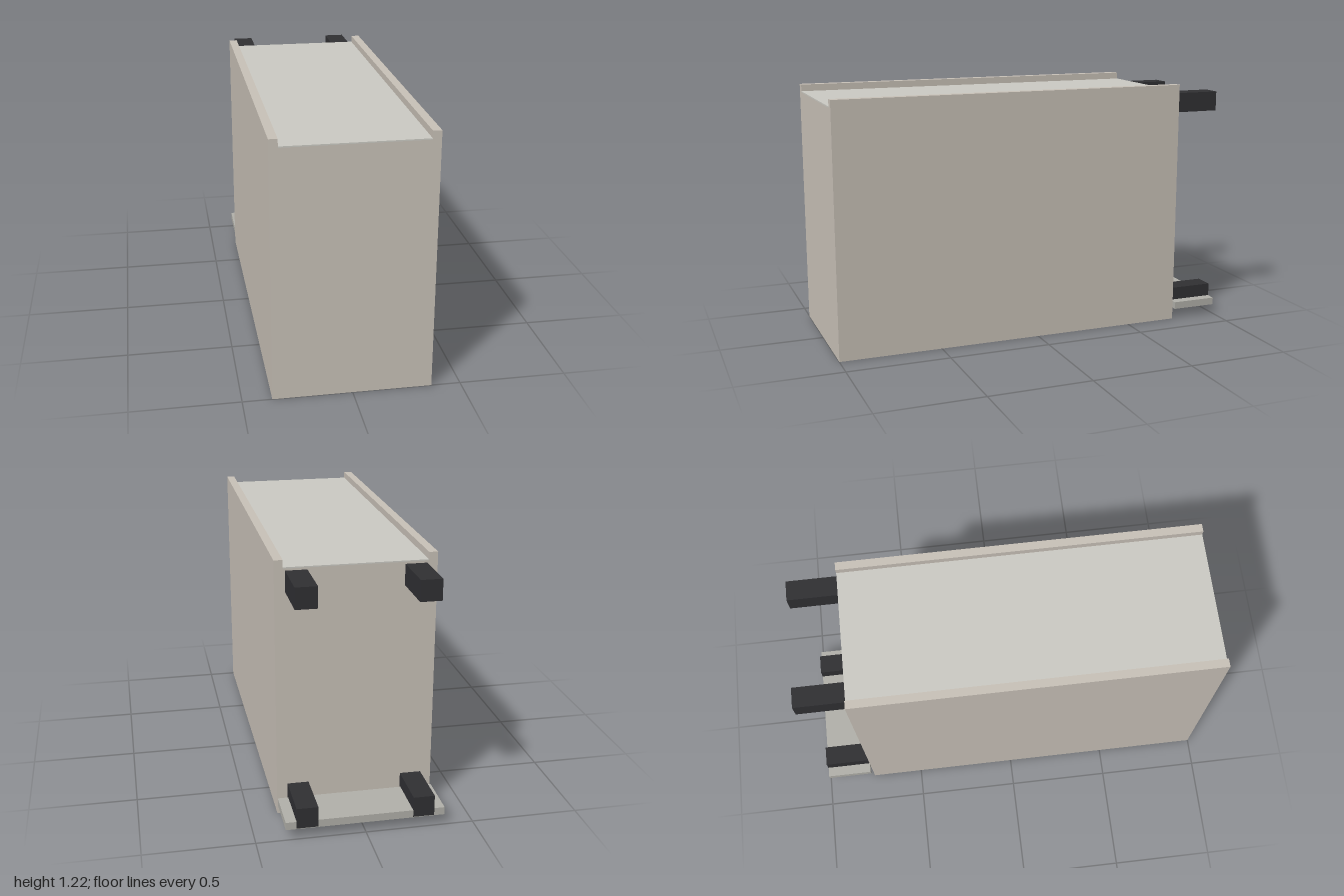
import * as THREE from 'three';

const shell = new THREE.MeshStandardMaterial({ color: 0xc9c2b8 });
const grey = new THREE.MeshStandardMaterial({ color: 0xcccbc4 });
const barGrey = new THREE.MeshStandardMaterial({ color: 0xb2b1aa });
const dark = new THREE.MeshStandardMaterial({ color: 0x303033 });

const HALF_W = 0.365, HEIGHT = 1.22, LID_TOP = 1.187;
const FRONT = 1, BACK = -0.757, WALL = 0.04;

// Box given by its extents along each axis
function block(name, material, [x0, x1], [y0, y1], [z0, z1]) {
  const geometry = new THREE.BoxGeometry(x1 - x0, y1 - y0, z1 - z0);
  const mesh = new THREE.Mesh(geometry, material);
  mesh.name = name;
  mesh.position.set((x0 + x1) / 2, (y0 + y1) / 2, (z0 + z1) / 2);
  return mesh;
}

export function createModel() {
  const model = new THREE.Group();
  model.name = 'wallCabinet';
  const inner = HALF_W - WALL;

  // Side panels rise above the lid as low rails
  model.add(block('leftPanel', shell, [inner, HALF_W], [0, HEIGHT], [BACK, FRONT]));
  model.add(block('rightPanel', shell, [-HALF_W, -inner], [0, HEIGHT], [BACK, FRONT]));

  // Front, two dividers and back, evenly spaced: three compartments open below
  const step = (FRONT - BACK - WALL) / 3;
  ['backPanel', 'rearDivider', 'frontDivider', 'frontPanel'].forEach((name, i) => {
    const z = BACK + i * step;
    const outer = i === 0 || i === 3;
    const top = outer ? LID_TOP - 0.006 : LID_TOP - WALL;
    model.add(block(name, shell, [-inner, inner], [0, top], [z, z + WALL]));
  });
  // Front and back skins cover the full width
  model.add(block('lid', grey, [-inner, inner], [LID_TOP - 0.006, LID_TOP], [BACK, FRONT]));
  model.add(block('lidCore', shell, [-inner, inner], [LID_TOP - WALL, LID_TOP - 0.006],
    [BACK + WALL, FRONT - WALL]));

  // Four dark mounting blocks on the back
  for (const side of [1, -1]) {
    const x = side > 0 ? [0.218, 0.316] : [-0.316, -0.218];
    const label = side > 0 ? 'Left' : 'Right';
    model.add(block('upper' + label + 'Mount', dark, x, [1.075, 1.172], [-1, BACK]));
    model.add(block('lower' + label + 'Mount', dark, x, [0.053, 0.15], [-1, BACK]));
  }

  // Cross bar under the lower mounts
  model.add(block('crossBar', barGrey, [-HALF_W, HALF_W], [0.05, 0.086], [-0.999, -0.772]));
  return model;
}
